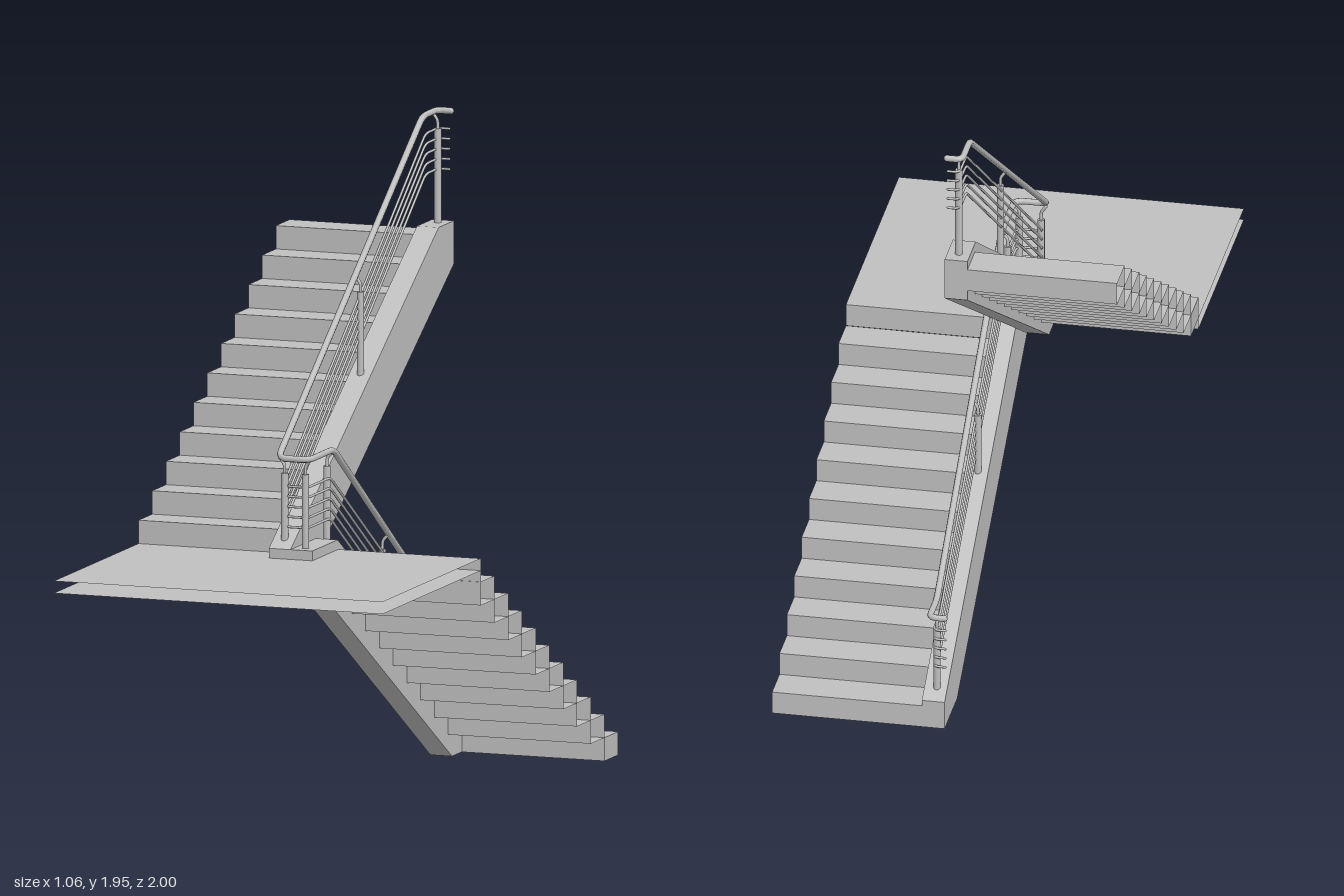
import * as THREE from 'three';

const RUN = 0.1165, RISE = 0.0715, DECK = 0.787, DECK_UNDER = 0.75;
const INNER = 0.07, OUTER = 0.53;

const concrete = new THREE.MeshStandardMaterial({ color: 0xc0c0c0, side: THREE.DoubleSide });
concrete.name = 'light grey';

function add(parent, name, geometry, x = 0, y = 0, z = 0) {
  const mesh = new THREE.Mesh(geometry, concrete);
  mesh.name = name;
  mesh.position.set(x, y, z);
  parent.add(mesh);
  return mesh;
}

// Step block; all but the first of a flight are open at both ends
function stepGeometry(open) {
  const g = new THREE.BoxGeometry(OUTER - INNER, RISE, RUN);
  if (open) {
    g.setIndex(Array.from(g.index.array).slice(12));
    g.clearGroups();
  }
  return g;
}

// Flight of steps: side is +1 or -1, dir is the z direction of climbing
function flight(name, side, count, y0, z0, dir) {
  const group = new THREE.Group();
  group.name = name;
  for (let i = 0; i < count; i++) {
    add(group, 'step', stepGeometry(i > 0),
      side * (INNER + OUTER) / 2, y0 + (i + 0.5) * RISE, z0 + dir * (i + 0.5) * RUN);
  }
  return group;
}

// Side beam from a [z, y] outline, filling x0 to x0 + INNER
function stringer(parent, name, outline, x0) {
  const shape = new THREE.Shape(outline.map(([z, y]) => new THREE.Vector2(z, y)));
  const g = new THREE.ExtrudeGeometry(shape, { depth: INNER, bevelEnabled: false });
  g.rotateY(-Math.PI / 2);
  add(parent, name, g, x0 + INNER);
}

// Polyline with rounded corners
function bentPath(points, radius) {
  const v = points.map(p => new THREE.Vector3(...p));
  const path = new THREE.CurvePath();
  let last = v[0];
  for (let i = 1; i < v.length - 1; i++) {
    const back = v[i - 1].clone().sub(v[i]), next = v[i + 1].clone().sub(v[i]);
    const r = Math.min(radius, back.length() * 0.45, next.length() * 0.45);
    const a = v[i].clone().addScaledVector(back.normalize(), r);
    const b = v[i].clone().addScaledVector(next.normalize(), r);
    path.add(new THREE.LineCurve3(last, a));
    path.add(new THREE.QuadraticBezierCurve3(a, v[i], b));
    last = b;
  }
  path.add(new THREE.LineCurve3(last, v[v.length - 1]));
  return path;
}

function pipe(parent, name, points, radius, bend) {
  add(parent, name, new THREE.TubeGeometry(bentPath(points, bend), 260, radius, 8));
  for (const p of [points[0], points[points.length - 1]]) {
    add(parent, name + 'End', new THREE.SphereGeometry(radius, 8, 6), ...p);
  }
}

// Post with a thin neck under the handrail
function post(parent, x, z, bottom, top) {
  const neck = 0.045, h = top - neck - bottom;
  add(parent, 'post', new THREE.CylinderGeometry(0.011, 0.011, h, 10), x, bottom + h / 2, z);
  pipe(parent, 'postNeck', [[x, top - neck - 0.005, z], [x, top - 0.02, z],
    [Math.sign(x) * 0.05, top, z]], 0.005, 0.01);
}

export function createModel() {
  const model = new THREE.Group();
  model.name = 'staircase';

  // Flights
  model.add(flight('lowerFlight', 1, 10, 0, -1, 1));
  model.add(flight('upperFlight', -1, 11, DECK, 0.282, -1));

  // Landing: upper and lower sheets notched round the beams
  const landing = new THREE.Group();
  landing.name = 'landing';
  const outline = [[-OUTER, 0.282], [-INNER, 0.282], [-INNER, 0.385], [INNER, 0.385],
    [INNER, 0.165], [OUTER, 0.165], [OUTER, 1], [-OUTER, 1]];
  const deckShape = new THREE.Shape(outline.map(([x, z]) => new THREE.Vector2(x, -z)));
  const deck = new THREE.ShapeGeometry(deckShape).rotateX(-Math.PI / 2);
  add(landing, 'landingFloor', deck, 0, DECK);
  add(landing, 'landingSoffit', deck.clone().rotateZ(0), 0, DECK_UNDER);
  const mid = (INNER + OUTER) / 2, wide = OUTER - INNER;
  add(landing, 'landingEdge', new THREE.PlaneGeometry(wide, DECK - DECK_UNDER),
    -mid, (DECK + DECK_UNDER) / 2, 0.282);
  add(landing, 'landingRiser', new THREE.PlaneGeometry(wide, RISE).rotateY(Math.PI),
    mid, DECK - RISE / 2, 0.165);
  model.add(landing);

  // Side beams
  stringer(model, 'lowerStringer', [[-1, 0], [-0.8, 0], [0.315, 0.68], [0.385, 0.68],
    [0.385, 0.817], [0.17, 0.817], [-1, 0.09]], 0);
  stringer(model, 'upperStringer', [[0.385, 0.68], [0.385, 0.817], [-0.87, 1.602],
    [-1, 1.602], [-1, 1.47], [0.29, 0.68]], -INNER);

  // Railing: handrail and five bars follow the same bent route
  const railing = new THREE.Group();
  railing.name = 'railing';
  const route = (x, inset, low, deckY, high) => [
    [0.004, low, -0.985 + inset], [x, low, -0.985 + inset], [x, low, -0.865],
    [x, deckY, 0.155], [x, deckY, 0.36 - inset], [-x, deckY, 0.36 - inset],
    [-x, high, -0.865], [-x, high, -0.985 + inset], [-0.004, high, -0.985 + inset]];
  pipe(railing, 'handrail', route(0.05, 0, 0.368, 1.09, 1.94), 0.01, 0.03);
  for (let i = 0; i < 5; i++) {
    const d = i * 0.031;
    pipe(railing, 'railBar', route(0.04, 0.015, 0.318 - d, 1.003 - d, 1.888 - d), 0.004, 0.025);
  }
  for (const [x, z, bottom, top] of [
    [0.032, -0.955, 0.1, 0.365], [0.032, -0.31, 0.5, 0.755],
    [0.032, 0.16, 0.8, 1.085], [0.032, 0.343, 0.81, 1.088],
    [-0.035, 0.343, 0.81, 1.088], [-0.035, -0.3, 1.23, 1.54], [-0.035, -0.955, 1.595, 1.935],
  ]) post(railing, x, z, bottom, top);
  model.add(railing);

  return model;
}
